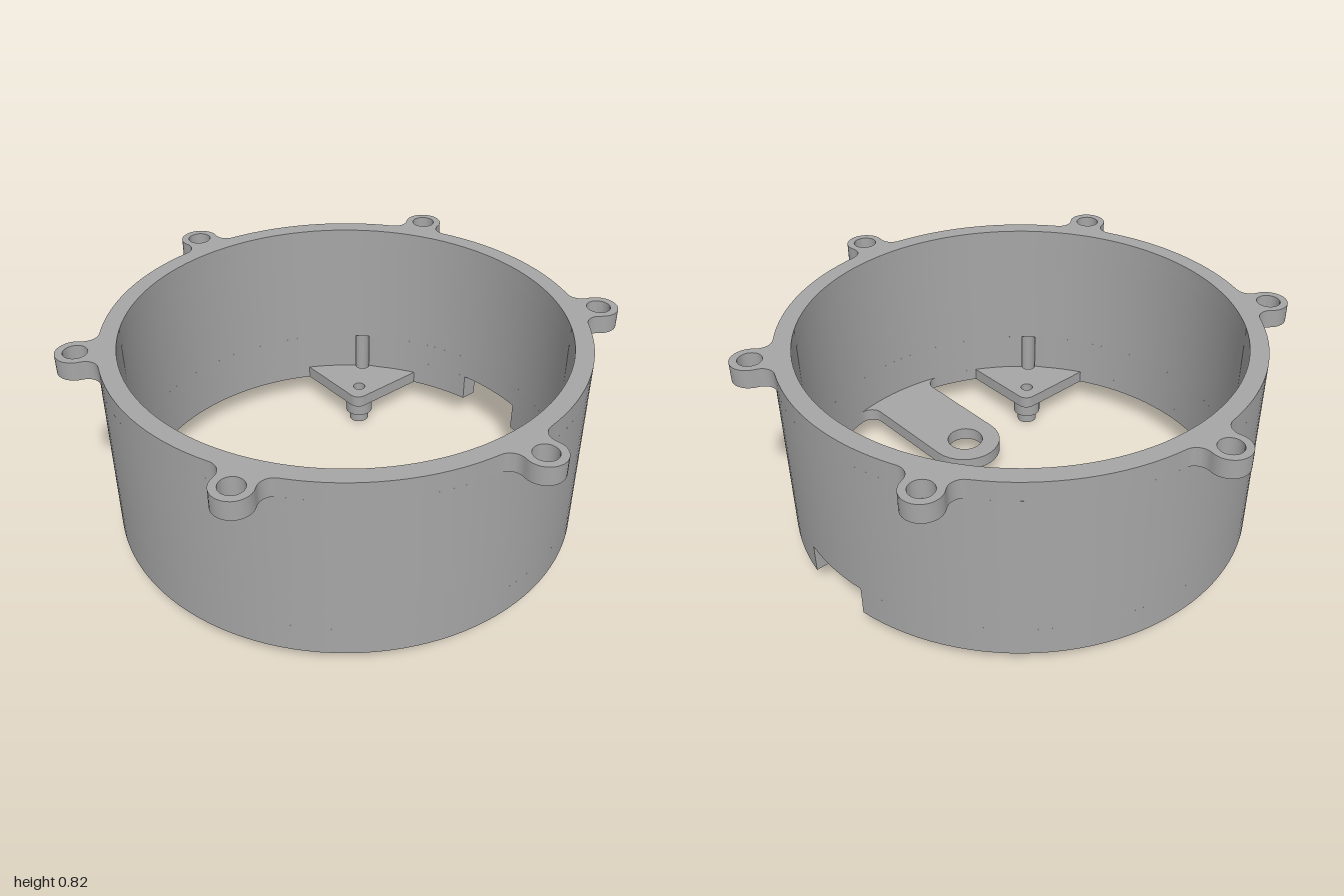
import * as THREE from 'three';
import { toCreasedNormals } from 'three/addons/utils/BufferGeometryUtils.js';

const OUTER = 0.86, INNER = 0.795;
const rad = THREE.MathUtils.degToRad;

// Points along an arc, angles in degrees; a1 < a0 runs clockwise
function arc(cx, cy, r, a0, a1) {
  const n = Math.max(3, Math.ceil(Math.abs(a1 - a0) / (r > 0.5 ? 3 : 12)));
  return Array.from({ length: n + 1 }, (_, i) => {
    const a = rad(a0 + (a1 - a0) * i / n);
    return new THREE.Vector2(cx + r * Math.cos(a), cy + r * Math.sin(a));
  });
}
const turn = (pts, deg) => pts.map(p => p.rotateAround(new THREE.Vector2(), rad(deg)));
const circle = (cx, cy, r) => new THREE.Path(arc(cx, cy, r, 0, 360).slice(0, -1));
const polar = (r, deg) => [r * Math.cos(rad(deg)), r * Math.sin(rad(deg))];
const TABS = [45, 135, 225, 315];

export function createModel() {
  const model = new THREE.Group();
  model.name = 'mountingRing';
  const body = new THREE.Group();
  body.name = 'ringBody';
  body.rotation.y = rad(-7.5);
  model.add(body);

  const grey = new THREE.MeshStandardMaterial({ color: 0xa6a6a6 });
  grey.name = 'grey';

  // Horizontal slab from a plan outline, between two heights
  function slab(name, points, holes, y0, y1) {
    const shape = new THREE.Shape(points);
    shape.holes.push(...holes);
    const geo = new THREE.ExtrudeGeometry(shape, { depth: y1 - y0, bevelEnabled: false });
    geo.rotateX(-Math.PI / 2).translate(0, y0, 0);
    const mesh = new THREE.Mesh(toCreasedNormals(geo, 0.5), grey);
    mesh.name = name;
    body.add(mesh);
  }

  // Inward features of the inner outline, each drawn counter-clockwise
  const half = 0.372;
  const tabEdge = deg => turn([
    new THREE.Vector2(Math.sqrt(INNER ** 2 - half ** 2), half),
    ...arc(half + 0.04, half + 0.04, 0.04, -90, -180),
    new THREE.Vector2(half, Math.sqrt(INNER ** 2 - half ** 2))], deg - 45);
  const tabSpan = 45 - THREE.MathUtils.radToDeg(Math.asin(half / INNER));

  const armW = 0.14, armR = 0.333, fil = 0.05;
  const fx = Math.sqrt((INNER - fil) ** 2 - (armW + fil) ** 2);
  const armSpan = THREE.MathUtils.radToDeg(Math.atan2(armW + fil, fx));
  const armEdge = turn([
    ...arc(fx, -armW - fil, fil, -armSpan, 90),
    ...arc(armR, 0, armW, -90, -270),
    ...arc(fx, armW + fil, fil, -90, armSpan)], 270);

  // Groove left by each blind screw hole in the inner wall
  const holeR = 0.8, groove = 0.029;
  const grooveEdge = deg => arc(...polar(holeR, deg), groove, deg - 90, deg + 90);
  const grooveSpan = THREE.MathUtils.radToDeg(groove / INNER);

  // Inner outline between two angles, interrupted by features
  function innerLine(a0, a1, features) {
    const pts = [];
    let a = a0;
    for (const f of features) {
      pts.push(...arc(0, 0, INNER, a, f.at - f.span).slice(0, -1), ...f.pts);
      a = f.at + f.span;
    }
    return pts.concat(arc(0, 0, INNER, a, a1).slice(1));
  }

  // Ring outline opened by the cable notch
  const cut = r => THREE.MathUtils.radToDeg(Math.asin(0.14 / r));
  const notched = features => [
    ...arc(0, 0, OUTER, cut(OUTER), 360 - cut(OUTER)),
    ...innerLine(cut(INNER), 360 - cut(INNER), features).reverse()];

  const tabs = TABS.map(at => ({ at, span: tabSpan, pts: tabEdge(at) }));
  const arm = { at: 270, span: armSpan, pts: armEdge };
  const grooves = TABS.map(at => ({ at, span: grooveSpan, pts: grooveEdge(at) }));
  const fullOuter = arc(0, 0, OUTER, 0, 360).slice(0, -1);

  // Floor with four corner tabs and the centre arm
  const floorHoles = TABS.flatMap(a => [
    circle(...polar(holeR, a), groove), circle(...polar(0.627, a), 0.025)]);
  floorHoles.push(circle(0, -armR, 0.07));
  slab('floorTabsAndArm', notched([...tabs.slice(0, 3), arm, tabs[3]]), floorHoles, 0.11, 0.16);

  // Wall
  slab('notchedWall', notched(grooves), [], 0.16, 0.22);
  slab('groovedWall', fullOuter,
    [new THREE.Path(innerLine(0, 360, grooves).slice(0, -1))], 0.22, 0.315);
  slab('plainWall', fullOuter, [circle(0, 0, INNER)], 0.315, 0.75);

  // Top rim with six filleted ears
  const earD = 0.932, earR = 0.07;
  const fa = OUTER + fil, fb = earR + fil;
  const alpha = THREE.MathUtils.radToDeg(
    Math.acos((fa * fa + earD * earD - fb * fb) / (2 * fa * earD)));
  const [px, py] = polar(fa, alpha);
  const dir = THREE.MathUtils.radToDeg(Math.atan2(py, px - earD));
  const rim = [], rimHoles = [circle(0, 0, INNER)];
  for (let i = 0; i < 6; i++) {
    const at = 30 + i * 60;
    rim.push(...turn([
      ...arc(px, -py, fil, 180 - alpha, 180 - dir),
      ...arc(earD, 0, earR, -dir, dir).slice(1),
      ...arc(px, py, fil, 180 + dir, 180 + alpha).slice(1),
      ...arc(0, 0, OUTER, alpha, 60 - alpha).slice(1, -1)], at));
    rimHoles.push(circle(...polar(earD, at), 0.043));
  }
  slab('rimWithEars', rim, rimHoles, 0.75, 0.82);

  // Hollow stepped studs under the tabs
  const profile = [[0.025, 0], [0.04, 0], [0.04, 0.045], [0.056, 0.045],
    [0.056, 0.11], [0.025, 0.11], [0.025, 0]].map(p => new THREE.Vector2(...p));
  const studGeo = toCreasedNormals(new THREE.LatheGeometry(profile, 24), 0.5);
  for (const a of TABS) {
    const stud = new THREE.Mesh(studGeo, grey);
    const [x, y] = polar(0.627, a);
    stud.position.set(x, 0, -y);
    stud.name = 'stud';
    body.add(stud);
  }
  return model;
}
